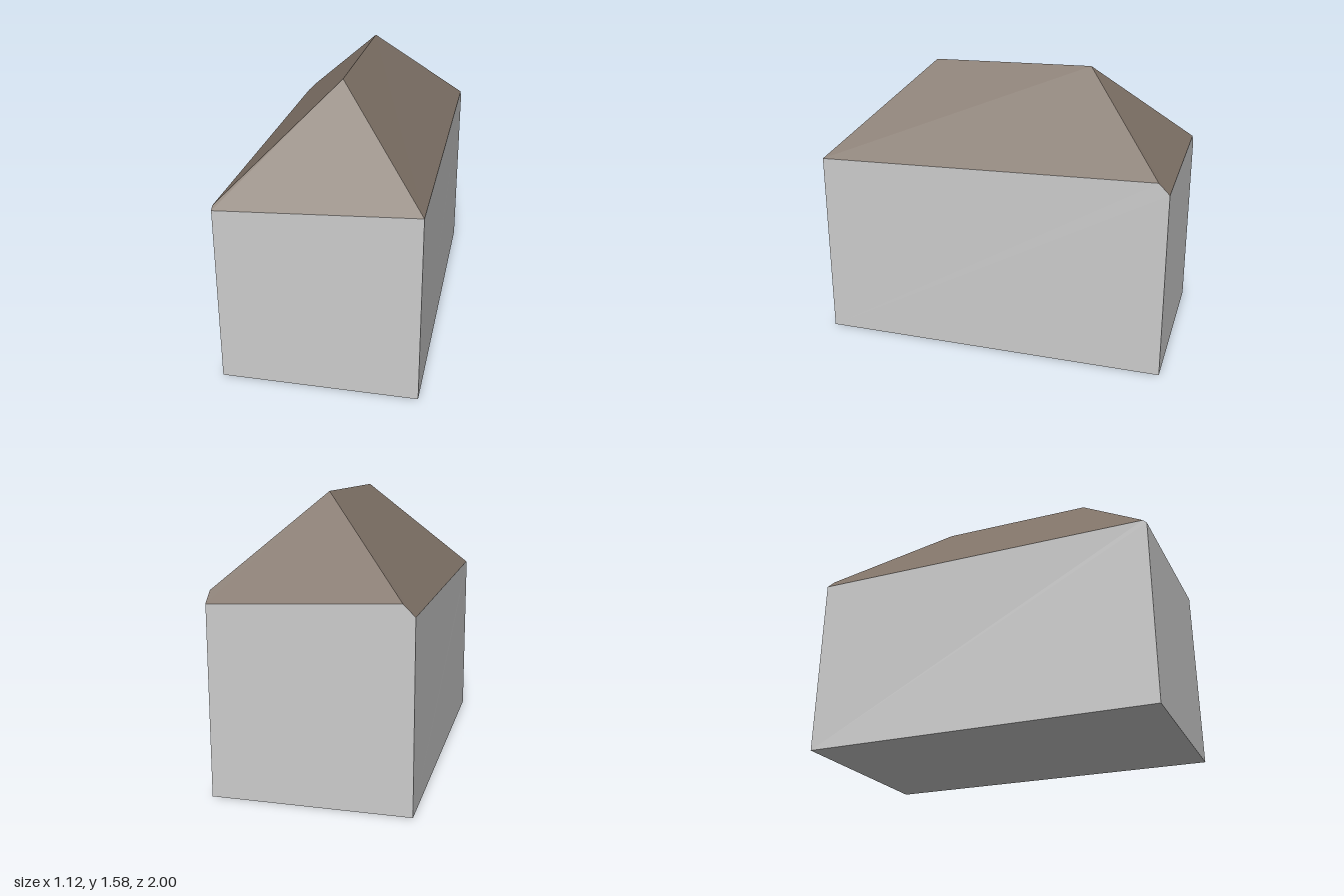
import * as THREE from 'three';

// Flat-faced geometry from convex polygons, corners counter-clockwise from outside
function polygons(faces) {
  const pos = [];
  for (const f of faces)
    for (let i = 1; i < f.length - 1; i++) pos.push(...f[0], ...f[i], ...f[i + 1]);
  const g = new THREE.BufferGeometry();
  g.setAttribute('position', new THREE.Float32BufferAttribute(pos, 3));
  g.computeVertexNormals();
  return g;
}

export function createModel() {
  const wallMat = new THREE.MeshStandardMaterial({ color: 0xcccccc });
  wallMat.name = 'pale grey wall';
  const roofMat = new THREE.MeshStandardMaterial({ color: 0x7f7267 });
  roofMat.name = 'brown roof';

  // Wall corners at eaves height (slightly skewed plan)
  const frontRight = [-0.52, 1.0, 0.998];
  const frontLeft = [0.558, 1.058, 0.973];
  const backLeft = [0.517, 1.04, -1.0];
  const backRight = [-0.56, 1.025, -0.977];
  const ground = ([x, , z]) => [x, 0, z];

  // Points where the hips run out over a wall
  const hipFrontRight = [-0.52, 1.02, 0.978];
  const hipBackLeft = [0.518, 1.1, -0.94];
  const hipBackRight = [-0.497, 1.087, -0.978];

  // Ridge ends
  const ridgeFront = [0.04, 1.57, 0.47];
  const ridgeBack = [0.026, 1.58, -0.455];

  const walls = new THREE.Mesh(polygons([
    [ground(frontRight), ground(frontLeft), frontLeft, frontRight],
    [ground(frontLeft), ground(backLeft), backLeft, hipBackLeft, frontLeft],
    [ground(backLeft), ground(backRight), backRight, hipBackRight, backLeft],
    [ground(backRight), ground(frontRight), frontRight, hipFrontRight, backRight],
    [frontRight, backRight, backLeft, frontLeft].map(ground),
  ]), wallMat);
  walls.name = 'walls';

  const roof = new THREE.Mesh(polygons([
    [frontRight, frontLeft, ridgeFront, hipFrontRight],
    [frontLeft, hipBackLeft, ridgeBack, ridgeFront],
    [backLeft, hipBackRight, ridgeBack, hipBackLeft],
    [backRight, hipFrontRight, ridgeFront, ridgeBack, hipBackRight],
  ]), roofMat);
  roof.name = 'hippedRoof';

  const house = new THREE.Group();
  house.name = 'house';
  house.add(walls, roof);
  return house;
}
